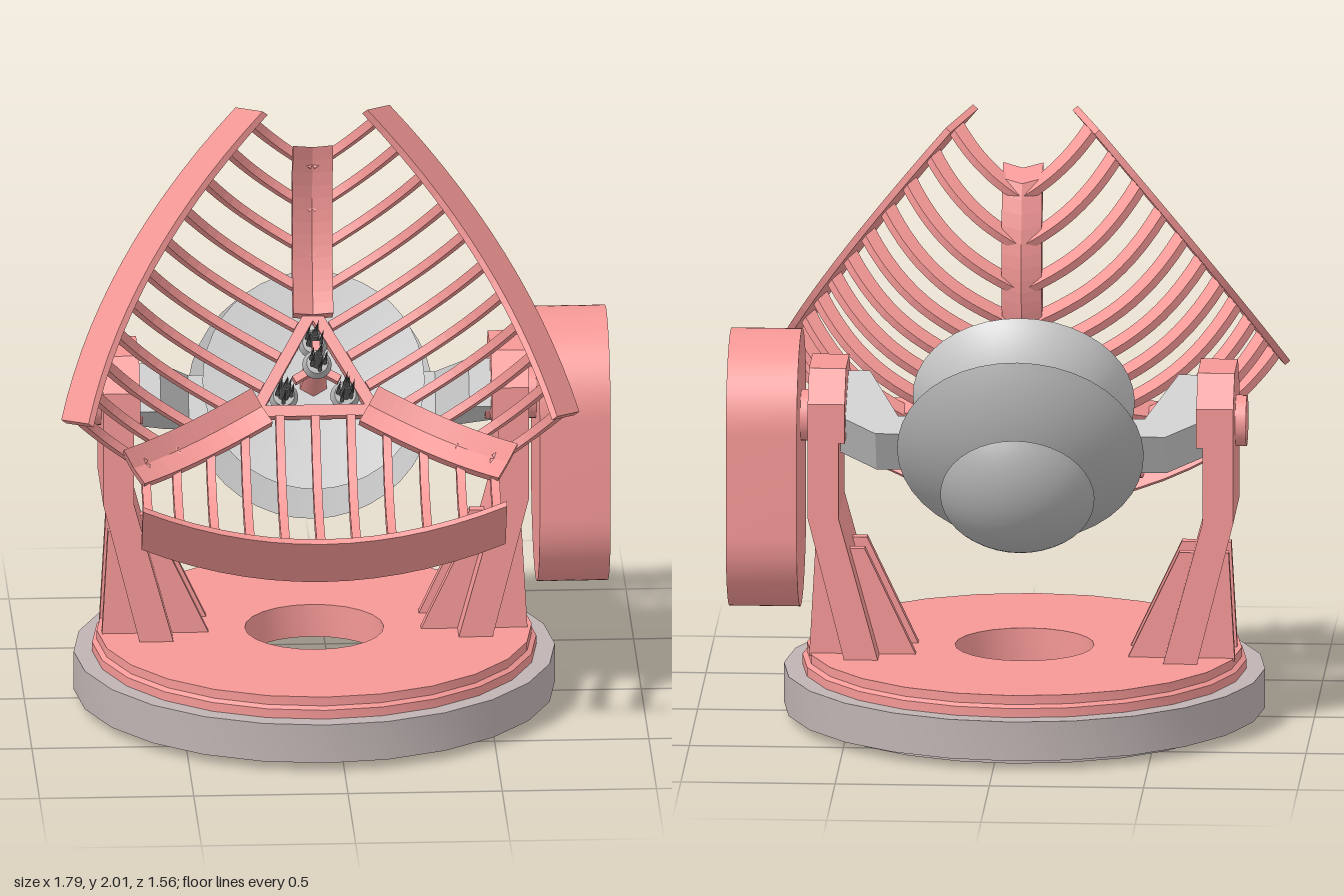
import * as THREE from 'three';
import { toCreasedNormals } from 'three/addons/utils/BufferGeometryUtils.js';

const PINK = new THREE.MeshStandardMaterial({ color: 0xf49896 });
const GREY = new THREE.MeshStandardMaterial({ color: 0xcccccc });
const STEEL = new THREE.MeshStandardMaterial({ color: 0xb4b4b4 });
const RING = new THREE.MeshStandardMaterial({ color: 0xbfb3b3 });
const DARK = new THREE.MeshStandardMaterial({ color: 0x666666 });

function add(parent, name, geometry, material, x = 0, y = 0, z = 0) {
  const mesh = new THREE.Mesh(geometry, material);
  mesh.name = name;
  mesh.position.set(x, y, z);
  parent.add(mesh);
  return mesh;
}

function group(parent, name) {
  const g = new THREE.Group();
  g.name = name;
  parent.add(g);
  return g;
}

const polygon = (pts) => new THREE.Shape(pts.map(([x, y]) => new THREE.Vector2(x, y)));

// Extrusion centred on its depth
const slab = (shape, depth) =>
  new THREE.ExtrudeGeometry(shape, { depth, bevelEnabled: false, curveSegments: 24 }).translate(0, 0, -depth / 2);

const lathe = (pts, sides) =>
  toCreasedNormals(new THREE.LatheGeometry(pts.map(([x, y]) => new THREE.Vector2(x, y)), sides), 0.5);

// Strip between a curve y = f(x) and the same curve raised by h; lean slants its far end
function strip(x0, x1, f, h, lean = 0, steps = 14) {
  const low = [], high = [];
  for (let i = 0; i <= steps; i++) {
    const x = x0 + ((x1 - x0) * i) / steps;
    low.push([x, f(x)]);
    high.unshift([x - (lean * i) / steps, f(x) + h]);
  }
  return polygon([...low, ...high]);
}

// Spherical cap bulging toward -z with a shallow hollow front
function saucer(r, depth) {
  const R = (r * r + depth * depth) / (2 * depth);
  const a = Math.asin(r / R);
  const pts = [];
  for (let i = 0; i <= 14; i++) {
    const t = (a * i) / 14;
    pts.push([R * Math.sin(t), R - depth - R * Math.cos(t)]);
  }
  pts.push([r * 0.5, -0.015], [0, -0.02]);
  return lathe(pts, 40).rotateX(Math.PI / 2);
}

function buildBase(parent) {
  const base = group(parent, 'base');
  add(base, 'baseRing', lathe([[0.66, 0.16], [0.66, 0], [0.69, 0], [0.69, 0.03], [0.78, 0.03], [0.78, 0.16], [0.66, 0.16]], 24), RING);
  add(base, 'turntable', lathe([[0.225, 0.12], [0.66, 0.12], [0.66, 0.16], [0.72, 0.16], [0.72, 0.19], [0.705, 0.2],
    [0.705, 0.23], [0.225, 0.23], [0.225, 0.12]], 24), PINK);
}

// One upright with fins and pivot; side is +1 or -1
function buildSupport(parent, side) {
  const support = group(parent, side > 0 ? 'leftSupport' : 'rightSupport');
  const m = (pts) => polygon(pts.map(([x, y]) => [x * side, y]));
  const z = -0.06;
  add(support, 'column', slab(m([[0.59, 0.95], [0.59, 0.7], [0.46, 0.22], [0.57, 0.22], [0.69, 0.7], [0.69, 0.95]]), 0.37), PINK, 0, 0, z);
  const head = [[-0.185, 0.95], [0.185, 0.95], [0.185, 1.08], [0.1, 1.18], [-0.1, 1.18], [-0.185, 1.08]];
  add(support, 'columnHead', slab(polygon(head), 0.12).rotateY(Math.PI / 2), PINK, 0.63 * side, 0, z);
  for (const dz of [-0.078, 0.078]) {
    add(support, 'fin', slab(m([[0.34, 0.22], [0.69, 0.22], [0.67, 0.58], [0.51, 0.58]]), 0.035), PINK, 0, 0, z + dz);
  }
  add(support, 'pivot', new THREE.CylinderGeometry(0.083, 0.083, 0.17, 24).rotateZ(Math.PI / 2), PINK, 0.64 * side, 1.0, z);
}

// Rounded housing on the left side
function buildHousing(parent) {
  const r = 0.285;
  const shape = new THREE.Shape();
  shape.absarc(0, 0.995, r, 0, Math.PI);
  shape.absarc(0, 0.655, r, Math.PI, Math.PI * 2);
  shape.closePath();
  add(parent, 'sideHousing', toCreasedNormals(slab(shape, 0.23).rotateY(Math.PI / 2), 0.5), PINK, 0.775, 0, -0.06);
}

// Petal frame: x runs outward, y along the dish axis, z across
function buildPetal(parent) {
  const petal = group(parent, 'petal');
  const half = 0.59;
  const sag = (t) => 0.173 * (1 - (t / half) ** 2);

  // Flat curved rim, leaning outward toward the back
  const rim = slab(strip(-half, half, sag, 0.185), 0.022);
  rim.applyMatrix4(new THREE.Matrix4().makeBasis(
    new THREE.Vector3(0, 0, 1), new THREE.Vector3(0.5, -0.866, 0), new THREE.Vector3(0.866, 0.5, 0)));
  add(petal, 'rim', rim, PINK, 0.527, 0.605, 0);

  // Parallel ribs from the spines and hub to the rim
  for (let i = -5; i <= 5; i++) {
    const t = Math.abs(i) === 5 ? Math.sign(i) * 0.565 : i * 0.115;
    const r0 = Math.max(0.577 * Math.abs(t), 0.13);
    const s = sag(t) + 0.13;
    const r1 = 0.527 + 0.5 * s, w1 = 0.605 - 0.866 * s;
    const w0 = 0.07 + 0.8 * Math.hypot(r0, t) ** 3;
    const curve = (r) => w0 + ((w1 - w0) * (r ** 4 - r0 ** 4)) / (r1 ** 4 - r0 ** 4);
    add(petal, 'rib', slab(strip(r0, r1, curve, 0.055, 0.032), 0.028), PINK, 0, 0, t);
  }

  // Spine opposite the petal: two halves folded into a V
  for (const side of [-1, 1]) {
    const geo = slab(strip(-0.7, -0.2, (r) => 0.05 + 0.8 * Math.abs(r) ** 3, 0.075), 0.065).translate(0, 0, side * 0.0325);
    const p = geo.attributes.position;
    for (let i = 0; i < p.count; i++) p.setY(i, p.getY(i) + 0.4 * Math.abs(p.getZ(i)));
    geo.computeVertexNormals();
    add(petal, 'spine', geo, PINK);
  }
  petal.quaternion.setFromRotationMatrix(new THREE.Matrix4().makeBasis(
    new THREE.Vector3(0, -1, 0), new THREE.Vector3(0, 0, 1), new THREE.Vector3(-1, 0, 0)));
}

// Cluster of needles on a round foot, pointing along +z
function buildEmitter(parent, x, y, z) {
  const emitter = group(parent, 'emitter');
  emitter.position.set(x, y, z);
  const along = (geo) => geo.rotateX(Math.PI / 2);
  add(emitter, 'emitterFoot', along(new THREE.CylinderGeometry(0.035, 0.048, 0.03, 16)), STEEL, 0, 0, 0.015);
  add(emitter, 'emitterCore', along(new THREE.CylinderGeometry(0.014, 0.02, 0.16, 8)), DARK, 0, 0, 0.1);
  add(emitter, 'needle', along(new THREE.ConeGeometry(0.012, 0.2, 6)), DARK, 0, 0, 0.25);
  for (let i = 0; i < 5; i++) {
    const a = (i * Math.PI * 2) / 5;
    add(emitter, 'needle', along(new THREE.ConeGeometry(0.008, 0.22, 6)), DARK,
      0.024 * Math.cos(a), 0.024 * Math.sin(a), 0.13 + 0.05 * (i % 2));
  }
}

function buildDish(parent) {
  const dish = group(parent, 'dish');
  dish.position.set(0, 1.034, -0.0875);
  dish.rotation.x = -Math.PI / 6;

  for (let k = 0; k < 3; k++) {
    const sector = group(dish, 'sector');
    sector.rotation.z = (k * Math.PI * 2) / 3;
    buildPetal(sector);
    buildEmitter(sector, 0, 0.115, 0.07);
  }

  // Triangular hub frame
  const triangle = (R) => [0, 1, 2].map((k) => {
    const a = Math.PI / 2 + (k * Math.PI * 2) / 3;
    return [R * Math.cos(a), R * Math.sin(a)];
  });
  const hub = polygon(triangle(0.26));
  hub.holes.push(polygon(triangle(0.185).reverse()));
  add(dish, 'hubFrame', slab(hub, 0.06), PINK, 0, 0, 0.08);

  // Central post carrying the forward emitter
  add(dish, 'centrePost', new THREE.CylinderGeometry(0.035, 0.05, 0.28, 6).rotateX(Math.PI / 2), PINK, 0, 0, 0.17);
  for (let k = 0; k < 3; k++) {
    const brace = group(dish, 'brace');
    brace.rotation.z = Math.PI / 2 + (k * Math.PI * 2) / 3;
    add(brace, 'braceArm', new THREE.BoxGeometry(0.09, 0.025, 0.05), PINK, 0.04, 0, 0.26);
  }
  buildEmitter(dish, 0, 0, 0.31);

  // Stacked saucers behind the dish
  add(dish, 'frontSaucer', saucer(0.36, 0.23), GREY, 0, 0, 0.05);
  add(dish, 'middleSaucer', saucer(0.4, 0.16), STEEL, 0, -0.01, -0.19);
  add(dish, 'rearSaucer', saucer(0.25, 0.12), STEEL, 0, -0.01, -0.4);
  add(dish, 'axle', new THREE.CylinderGeometry(0.06, 0.06, 0.4, 20).rotateX(Math.PI / 2), STEEL, 0, 0, -0.25);

  // Yoke arms reaching to the pivots
  for (const side of [-1, 1]) {
    const arm = polygon([[0.6, -0.09], [0.6, 0.12], [0.5, 0.12], [0.4, -0.09], [0.15, -0.09], [0.15, -0.175], [0.47, -0.175]]
      .map(([x, w]) => [x * side, -w]));
    add(dish, 'yokeArm', slab(arm, 0.16).rotateX(-Math.PI / 2), GREY, 0, -0.03, 0);
  }
}

export function createModel() {
  const model = new THREE.Group();
  model.name = 'dishTurret';
  const body = group(model, 'body');
  body.position.x = -0.06;
  buildBase(body);
  buildSupport(body, 1);
  buildSupport(body, -1);
  buildDish(body);
  buildHousing(model);
  return model;
}
